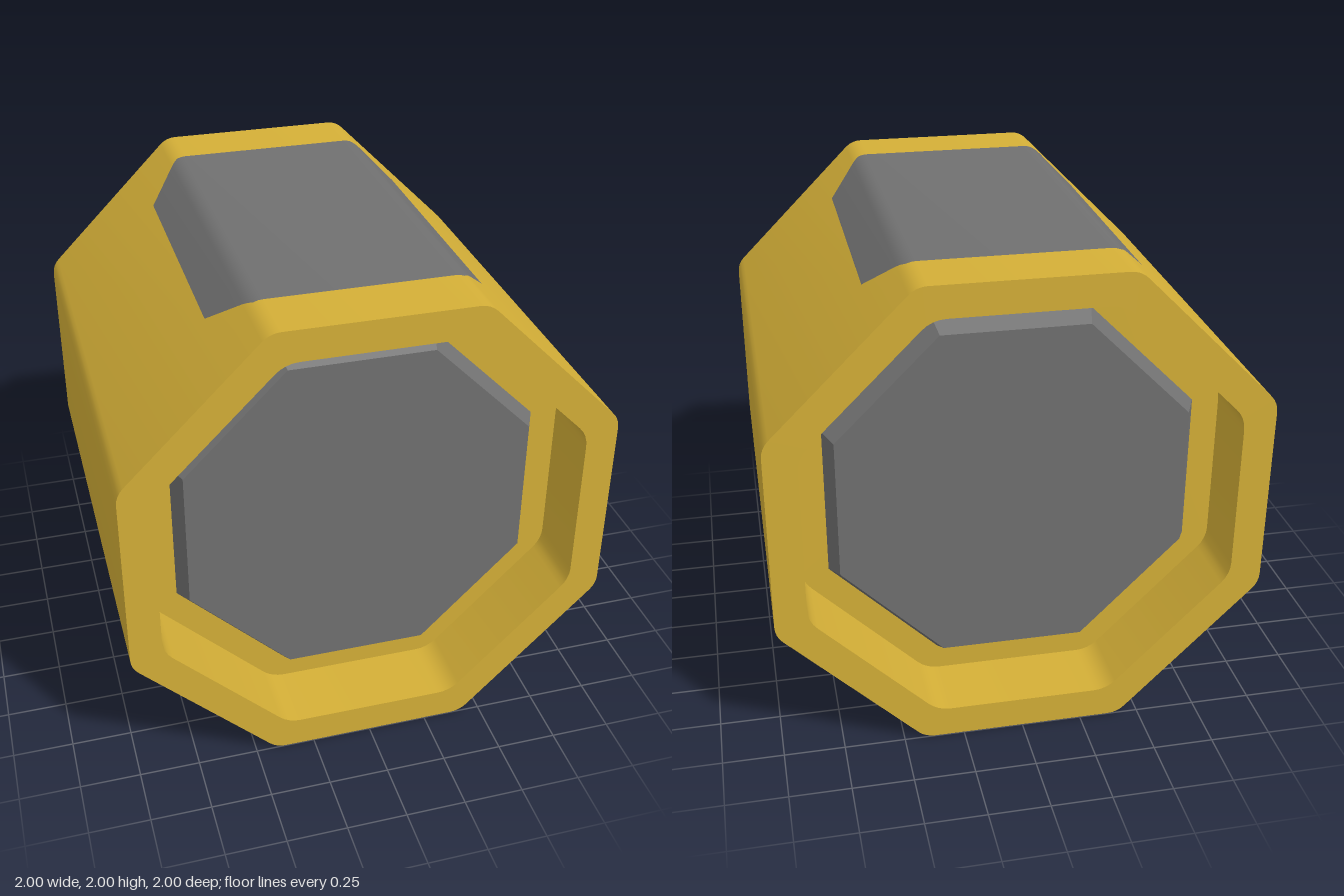
import * as THREE from 'three';
import { toCreasedNormals } from 'three/addons/utils/BufferGeometryUtils.js';

const gold = new THREE.MeshStandardMaterial({ color: 0xd4af37 });
const grey = new THREE.MeshStandardMaterial({ color: 0x707070 });
const COS = Math.cos(Math.PI / 8);

// Counter-clockwise octagon with rounded corners, given distance to its flats
function octagon(apothem, radius, steps = 4) {
  const pts = [];
  const centre = (apothem - radius) / COS;
  for (let k = 0; k < 8; k++) {
    const mid = (k + 0.5) * Math.PI / 4;
    for (let i = 0; i <= steps; i++) {
      const a = mid + (i / steps - 0.5) * Math.PI / 4;
      pts.push(new THREE.Vector2(
        centre * Math.cos(mid) + radius * Math.cos(a),
        centre * Math.sin(mid) + radius * Math.sin(a)));
    }
  }
  return pts;
}

function prism(shape, depth) {
  const g = new THREE.ExtrudeGeometry(shape, { depth, bevelEnabled: false });
  g.translate(0, 0, -depth / 2);
  return toCreasedNormals(g, 0.5);
}

// Inlay that wraps the top flat and its sloping neighbours out to |x| = limit
function inlay(limit, halfLength) {
  const lift = 1.0015;
  const edgeY = Math.SQRT2 - limit;
  const inner = octagon(1, 0.1).filter(p => p.y > 0 && Math.abs(p.x) < limit);
  const line = [new THREE.Vector2(limit, edgeY), ...inner, new THREE.Vector2(-limit, edgeY)];
  const pos = [];
  for (let i = 0; i < line.length - 1; i++) {
    const [p, q] = [line[i], line[i + 1]];
    const at = (v, s) => [v.x * lift, v.y * lift, s * halfLength(Math.abs(v.x))];
    const [a, b, c, d] = [at(p, 1), at(q, 1), at(q, -1), at(p, -1)];
    pos.push(...a, ...d, ...c, ...a, ...c, ...b);
  }
  const g = new THREE.BufferGeometry();
  g.setAttribute('position', new THREE.Float32BufferAttribute(pos, 3));
  g.computeVertexNormals();
  return toCreasedNormals(g, 0.5);
}

export function createModel() {
  const root = new THREE.Group();
  root.name = 'octagonalBarrel';
  const add = (name, geometry, material) => {
    const m = new THREE.Mesh(geometry, material);
    m.name = name;
    m.position.y = 1;
    root.add(m);
    return m;
  };

  // Outer casing, open at both ends
  const ring = new THREE.Shape(octagon(1, 0.1));
  ring.holes.push(new THREE.Path(octagon(0.87, 0.13).reverse()));
  add('casing', prism(ring, 2), gold);

  // Core whose ends are the floors of the recesses
  add('core', prism(new THREE.Shape(octagon(0.88, 0.13)), 1.42), gold);

  // Bevelled end plates
  for (const side of [1, -1]) {
    const plate = new THREE.CylinderGeometry(0.717 / COS, 0.757 / COS, 0.08, 8, 1, false, Math.PI / 8);
    plate.rotateX(side * Math.PI / 2);
    plate.translate(0, 0, side * 0.75);
    add(side > 0 ? 'frontPlate' : 'backPlate', toCreasedNormals(plate, 0.3), grey);
  }

  // Top inlay with clipped corners, bottom inlay rectangular
  const clip = x => 0.74 - 0.18 * THREE.MathUtils.clamp((x - 0.414) / 0.146, 0, 1);
  add('topInlay', inlay(0.56, clip), grey);
  add('bottomInlay', inlay(0.704, () => 0.74), grey).rotation.z = Math.PI;

  return root;
}
